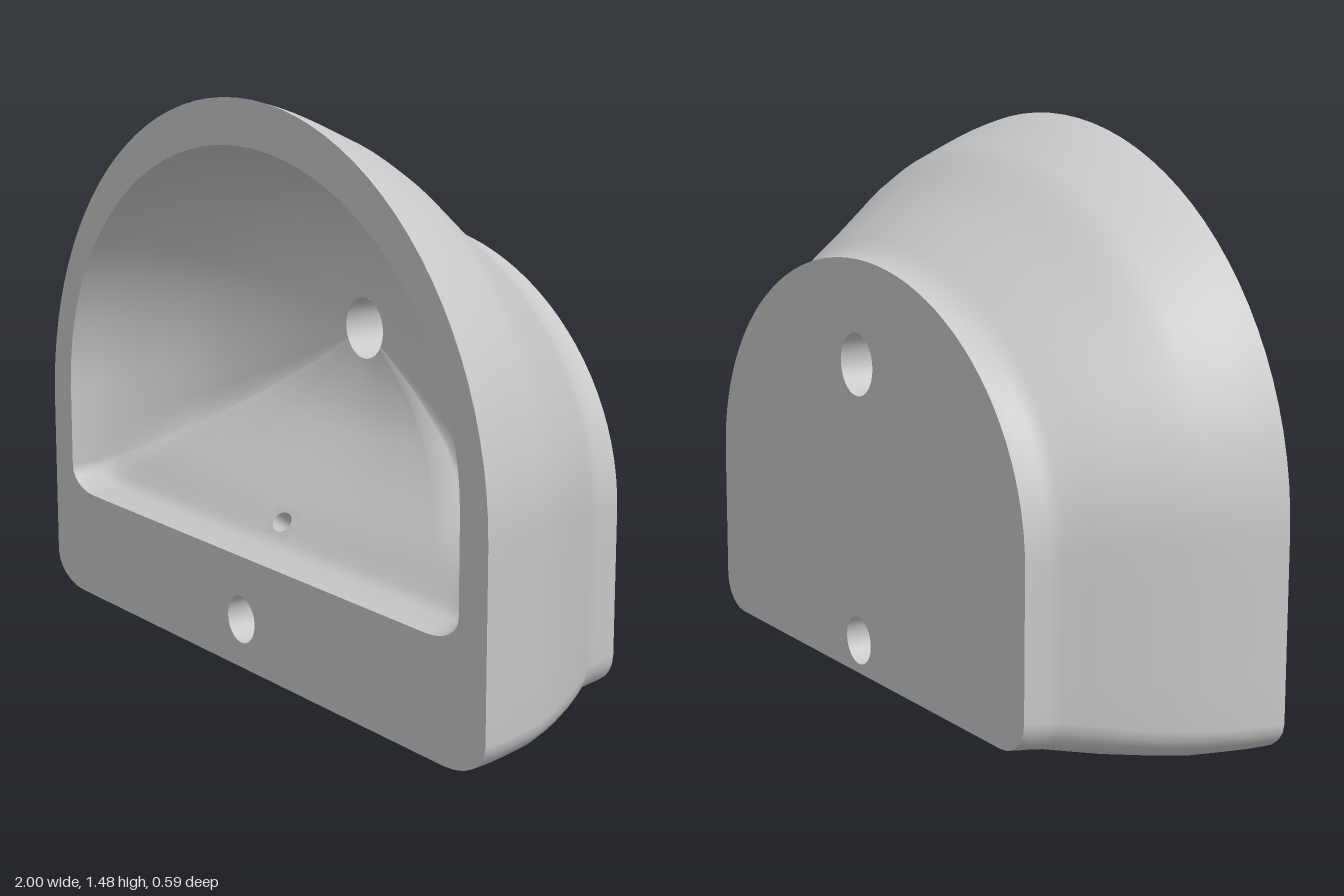
import * as THREE from 'three';

const DRAIN = { x: 0, y: 0.86, r: 0.082 };
const TAP = { x: 0, y: 0.13, r: 0.063 };
const FRONT = 0.295, BACK = -0.295, BASIN_END = -0.1;

// D-shaped outline, counter-clockwise seen from the front
function outline(w, bottom, top, spring, rx, ry) {
  const flat = w - rx;
  const right = [0.06, 0.2, 0.35, 0.5, 0.6].map(x => [x, bottom]);
  for (let i = 0; i <= 6; i++) {
    const a = i / 6 * Math.PI / 2;
    right.push([flat + rx * Math.sin(a), bottom + ry * (1 - Math.cos(a))]);
  }
  const y0 = bottom + ry;
  for (let i = 1; i <= 3; i++) right.push([w, y0 + (spring - y0) * i / 4]);
  for (let i = 0; i < 24; i++) {
    const a = i / 24 * Math.PI / 2;
    right.push([w * Math.cos(a), spring + (top - spring) * Math.sin(a)]);
  }
  const left = right.map(([x, y]) => [-x, y]).reverse();
  return [...right, [0, top], ...left].map(([x, y]) => new THREE.Vector2(x, y));
}

// Skin through closed rings running from front to back
function loft(rings, inward, skip = () => false) {
  const n = rings[0].length, index = [];
  for (let i = 0; i < rings.length - 1; i++) {
    for (let j = 0; j < n; j++) {
      if (skip(i, j, n)) continue;
      const k = (j + 1) % n;
      const a = i * n + j, b = i * n + k, c = a + n, d = b + n;
      if (inward) index.push(a, b, c, b, d, c);
      else index.push(a, c, b, b, c, d);
    }
  }
  const g = new THREE.BufferGeometry().setFromPoints(rings.flat());
  g.setIndex(index);
  g.computeVertexNormals();
  return g;
}

const ellipsePoints = (x, y, rx, ry, n = 40) => Array.from({ length: n }, (_, i) => {
  const a = i / n * Math.PI * 2;
  return new THREE.Vector2(x + rx * Math.cos(a), y + ry * Math.sin(a));
});

function plate(points, holes) {
  const s = new THREE.Shape(points);
  holes.forEach(h => s.holes.push(new THREE.Path(h)));
  return new THREE.ShapeGeometry(s);
}

export function createModel() {
  const group = new THREE.Group();
  const ceramic = new THREE.MeshStandardMaterial({ color: 0xc8c8c8, side: THREE.DoubleSide });
  ceramic.name = 'ceramic';
  const add = (name, geometry) => {
    const m = new THREE.Mesh(geometry, ceramic);
    m.name = name;
    group.add(m);
    return m;
  };

  // Outer shell sections: z, half width, bottom, top, spring height, corner radii
  const sections = [
    [FRONT, 1.0, 0, 1.48, 0.55, 0.15, 0.09],
    [0.25, 0.994, 0, 1.467, 0.55, 0.15, 0.09],
    [0.2, 0.985, 0.001, 1.447, 0.55, 0.15, 0.09],
    [0.1, 0.957, 0.003, 1.402, 0.55, 0.14, 0.09],
    [0.05, 0.937, 0.006, 1.37, 0.54, 0.14, 0.09],
    [0, 0.913, 0.01, 1.325, 0.54, 0.13, 0.09],
    [-0.08, 0.869, 0.017, 1.26, 0.53, 0.12, 0.09],
    [-0.15, 0.826, 0.026, 1.21, 0.52, 0.11, 0.09],
    [-0.2, 0.79, 0.032, 1.17, 0.51, 0.1, 0.09],
    [-0.23, 0.78, 0.034, 1.148, 0.5, 0.1, 0.09],
    [-0.265, 0.777, 0.037, 1.13, 0.5, 0.1, 0.09],
    [BACK, 0.777, 0.042, 1.13, 0.5, 0.1, 0.09],
  ];
  const outlines = sections.map(s => outline(...s.slice(1)));
  add('outerShell', loft(outlines.map((o, i) =>
    o.map(p => new THREE.Vector3(p.x, p.y, sections[i][0]))), false));

  // Flat front rim and flat back, pierced by the holes
  const rim = outline(0.9, 0.3, 1.36, 0.6, 0.12, 0.065);
  const drainHole = ellipsePoints(DRAIN.x, DRAIN.y, DRAIN.r, DRAIN.r);
  const tapHole = ellipsePoints(TAP.x, TAP.y, TAP.r, TAP.r);
  add('frontRim', plate(outlines[0], [rim, tapHole])).position.z = FRONT;
  const back = plate(outlines[outlines.length - 1], [drainHole, tapHole]);
  back.rotateY(Math.PI);
  add('backFace', back).position.z = BACK;

  // Basin: rounded walls and a sloping floor, both narrowing to the drain
  const steps = [0, 0.03, 0.08, 0.14, 0.22, 0.3, 0.4, 0.6, 0.8, 1];
  const wallZ = [FRONT, 0.235, 0.18, 0.13, 0.075, 0.03, -0.015, -0.067, -0.09, BASIN_END];
  const floorZ = [FRONT, 0.215, 0.19, 0.1686, 0.14, 0.105, 0.058, -0.03, -0.082, BASIN_END];
  const basin = steps.map((t, i) => rim.map(p => {
    const d = new THREE.Vector2(p.x - DRAIN.x, p.y - DRAIN.y).setLength(DRAIN.r);
    const floor = THREE.MathUtils.clamp((0.38 - p.y) / 0.08, 0, 1);
    return new THREE.Vector3(
      THREE.MathUtils.lerp(p.x, DRAIN.x + d.x, t),
      THREE.MathUtils.lerp(p.y, DRAIN.y + d.y, t),
      THREE.MathUtils.lerp(wallZ[i], floorZ[i], floor));
  }));
  // The middle floor panel between rings 2 and 4 is left out for the overflow
  add('basin', loft(basin, true, (i, j, n) => j === n - 1 && (i === 2 || i === 3)));

  // Overflow panel with its hole
  const n = rim.length;
  const corners = [basin[2][n - 1], basin[2][0], basin[3][0], basin[4][0], basin[4][n - 1], basin[3][n - 1]];
  const low = corners[0], high = corners[3];
  const floorAt = y => THREE.MathUtils.mapLinear(y, low.y, high.y, low.z, high.z);
  const slot = ellipsePoints(0, 0.372, 0.036, 0.022, 24);
  const panel = plate(corners.map(p => new THREE.Vector2(p.x, p.y)), [slot]);
  const pos = panel.attributes.position;
  for (let i = 0; i < pos.count; i++) pos.setZ(i, floorAt(pos.getY(i)));
  panel.computeVertexNormals();
  add('overflowPanel', panel);

  // Overflow channel sloping down into the body, closed at its end
  const channel = [[0, 1], [1, 1], [1, 0.01]].map(([d, s]) => slot.map(p =>
    new THREE.Vector3(p.x * s, 0.372 + (p.y - 0.372) * s - 0.08 * d, floorAt(p.y) - 0.1 * d)));
  add('overflowChannel', loft(channel, true));

  // Straight bores through the body
  const bore = (name, hole, z0, z1) => add(name, loft([z0, z1].map(z =>
    hole.map(p => new THREE.Vector3(p.x, p.y, z))), true));
  bore('drainBore', drainHole, BASIN_END, BACK);
  bore('tapBore', tapHole, FRONT, BACK);

  return group;
}
